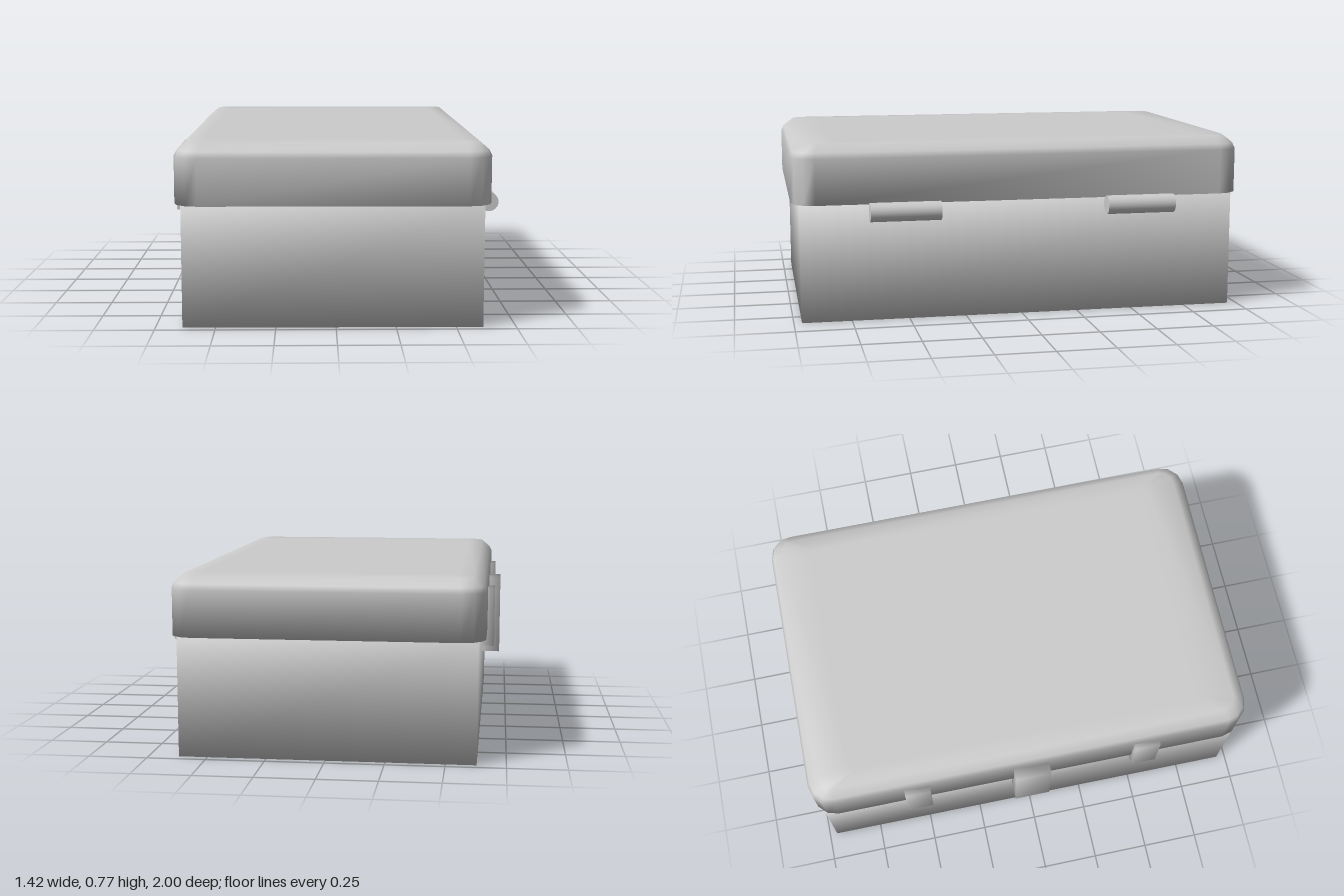
import * as THREE from 'three';
import { mergeVertices } from 'three/addons/utils/BufferGeometryUtils.js';

const material = new THREE.MeshStandardMaterial({ color: 0xcccccc });

function addPart(group, name, geometry, x, y, z) {
  const mesh = new THREE.Mesh(geometry, material);
  mesh.name = name;
  mesh.position.set(x, y, z);
  group.add(mesh);
  return mesh;
}

// box whose corners share one normal, for soft shading
function softBox(w, h, d) {
  let g = new THREE.BoxGeometry(w, h, d);
  g.deleteAttribute('normal');
  g.deleteAttribute('uv');
  g = mergeVertices(g);
  g.computeVertexNormals();
  return g;
}

// horizontal ring: rectangle with softened corners, four points per corner
function ring(halfX, halfZ, r, y) {
  const pts = [];
  for (let c = 0; c < 4; c++) {
    const sx = c === 0 || c === 3 ? 1 : -1;
    const sz = c < 2 ? 1 : -1;
    for (let i = 0; i < 4; i++) {
      const a = (c + i / 3) * Math.PI / 2;
      pts.push([sx * (halfX - r) + r * Math.cos(a), y, sz * (halfZ - r) + r * Math.sin(a)]);
    }
  }
  return pts;
}

// closed solid from stacked rings, bottom to top
function ringSolid(rings) {
  const n = rings[0].length;
  const index = [];
  for (let k = 0; k < rings.length - 1; k++) {
    for (let i = 0; i < n; i++) {
      const j = (i + 1) % n;
      const a = k * n + i, b = k * n + j, c = a + n, d = b + n;
      index.push(a, c, b, b, c, d);
    }
  }
  const last = (rings.length - 1) * n;
  for (let i = 1; i < n - 1; i++) {
    index.push(0, i, i + 1);
    index.push(last, last + i + 1, last + i);
  }
  const g = new THREE.BufferGeometry();
  g.setAttribute('position', new THREE.Float32BufferAttribute(rings.flat(2), 3));
  g.setIndex(index);
  g.computeVertexNormals();
  return g;
}

export function createModel() {
  const group = new THREE.Group();
  group.name = 'hingedCase';

  // lower tray and overhanging lid, both turned very slightly
  const tray = addPart(group, 'tray', softBox(1.25, 0.515, 1.925), -0.008, 0.2575, 0);
  const lid = addPart(group, 'lid', ringSolid([
    ring(0.657, 0.997, 0.1, 0.513),
    ring(0.657, 0.997, 0.1, 0.71),
    ring(0.645, 0.985, 0.09, 0.735),
    ring(0.605, 0.94, 0.06, 0.77),
    ring(0.54, 0.81, 0.03, 0.771),
  ]), -0.007, 0, 0);
  tray.rotation.y = lid.rotation.y = -0.005;

  // hinge barrels on the model's left
  for (const z of [-0.52, 0.52]) {
    const hinge = addPart(group, 'hinge', new THREE.CylinderGeometry(0.041, 0.041, 0.305, 32), 0.668, 0.481, z);
    hinge.rotation.x = Math.PI / 2;
  }

  // clasp and two side latches on the model's right
  addPart(group, 'clasp', softBox(0.085, 0.35, 0.16), -0.6725, 0.5, -0.01);
  for (const z of [-0.53, 0.52]) {
    addPart(group, 'latch', softBox(0.06, 0.25, 0.115), -0.661, 0.56, z);
  }
  return group;
}
